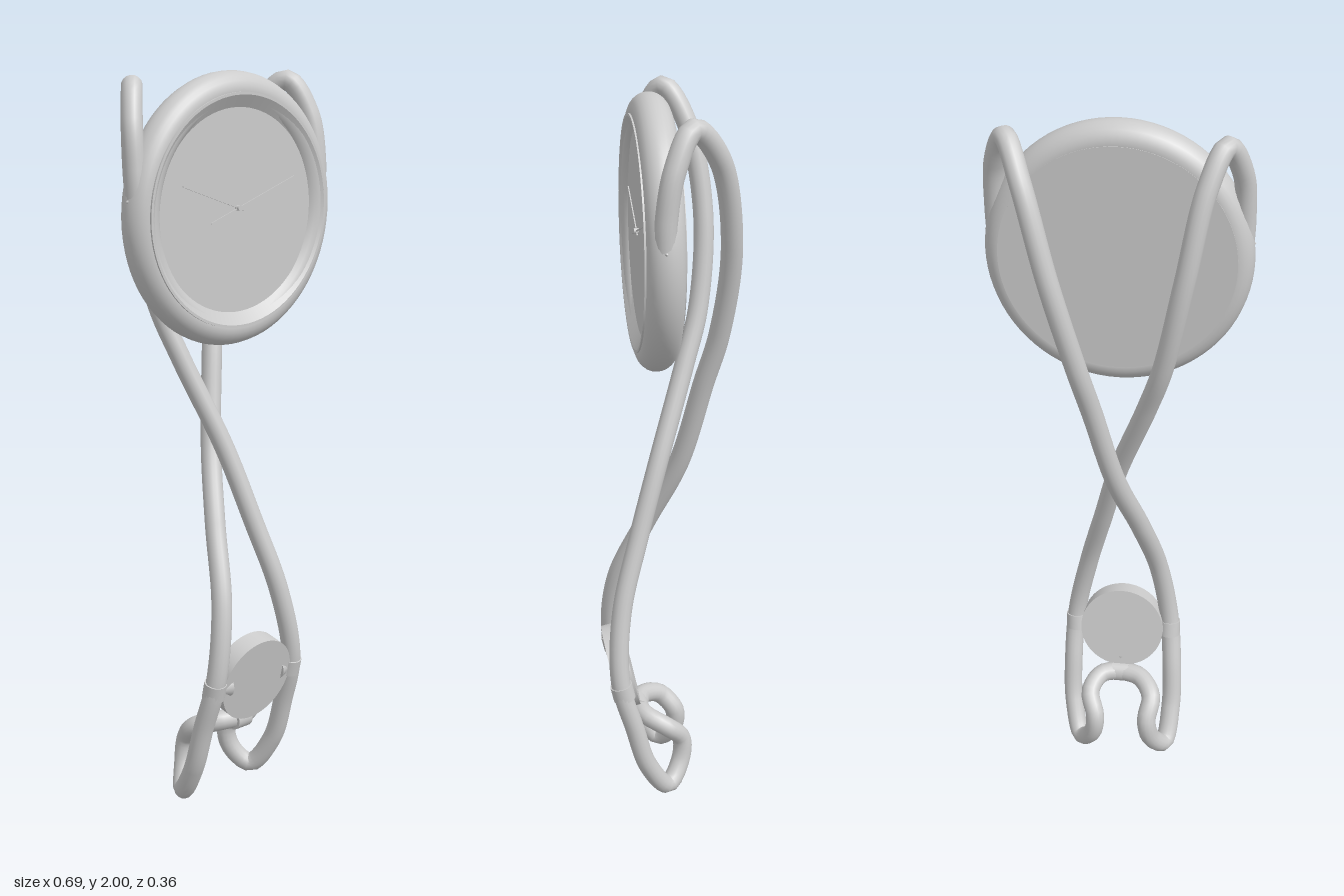
import * as THREE from 'three';

const mat = new THREE.MeshStandardMaterial({ color: 0xcccccc, side: THREE.DoubleSide });

function add(parent, name, geometry, x = 0, y = 0, z = 0) {
  const mesh = new THREE.Mesh(geometry, mat);
  mesh.name = name;
  mesh.position.set(x, y, z);
  parent.add(mesh);
  return mesh;
}

// Flat-faced lathe: every profile segment gets its own normals
function hardLathe(profile, segments = 64) {
  const group = new THREE.Group();
  for (let i = 0; i < profile.length - 1; i++) {
    const pts = [profile[i], profile[i + 1]].map(p => new THREE.Vector2(...p));
    add(group, 'profileBand', new THREE.LatheGeometry(pts, segments));
  }
  return group;
}

function rod(points, radius) {
  const curve = new THREE.CatmullRomCurve3(points.map(p => new THREE.Vector3(...p)), false, 'centripetal');
  return new THREE.TubeGeometry(curve, 160, radius, 16);
}

export function createModel() {
  const model = new THREE.Group();
  const dialY = 1.645, dialZ = 0.031;

  // Round head: padded ring, case with sloped bezel, hands
  const head = new THREE.Group();
  head.name = 'dialHead';
  head.position.set(0, dialY, dialZ);
  model.add(head);
  const ring = add(head, 'outerRing', new THREE.TorusGeometry(0.306, 0.049, 24, 80));
  ring.scale.x = 0.965;
  const dialCase = hardLathe([
    [0, -0.05], [0.303, -0.05], [0.303, 0.053], [0.296, 0.053], [0.264, 0.032], [0, 0.032],
  ], 80);
  dialCase.name = 'dialCase';
  dialCase.rotation.x = Math.PI / 2;
  head.add(dialCase);
  const pin = add(head, 'centrePin', new THREE.CylinderGeometry(0.007, 0.007, 0.014, 16), 0, 0.008, 0.038);
  pin.rotation.x = Math.PI / 2;
  for (const [name, angle, from, to] of [['minuteHand', 0.34, -0.1, 0.21], ['hourHand', 2.8, -0.02, 0.2]]) {
    const hand = new THREE.Group();
    hand.name = name;
    hand.position.set(0, 0.008, 0.038);
    hand.rotation.z = angle;
    add(hand, name + 'Blade', new THREE.BoxGeometry(to - from, 0.003, 0.003), (from + to) / 2);
    head.add(hand);
  }

  // Two crossing rods, each hooking over at the top and curling under at the foot
  add(model, 'frontCrossingRod', rod([
    [-0.31, 1.66, 0.035], [-0.313, 1.76, 0.033], [-0.305, 1.88, 0.015], [-0.266, 1.967, -0.033],
    [-0.225, 1.88, -0.09], [-0.18, 1.65, -0.13], [-0.13, 1.4, -0.112], [-0.085, 1.25, -0.068],
    [0, 1.0, 0.015], [0.05, 0.8, 0.075], [0.1, 0.6, 0.128], [0.14, 0.4, 0.138],
    [0.147, 0.25, 0.1], [0.142, 0.12, 0.062], [0.112, 0.03, 0.0],
    [0.072, 0.08, -0.04], [0.062, 0.15, -0.045], [0.082, 0.205, 0.0], [0.055, 0.23, 0.055], [0, 0.232, 0.075],
  ], 0.027));
  add(model, 'rearCrossingRod', rod([
    [0.31, 1.66, 0.035], [0.313, 1.76, 0.033], [0.305, 1.88, 0.012], [0.268, 1.967, -0.037],
    [0.22, 1.88, -0.11], [0.155, 1.65, -0.152], [0.09, 1.4, -0.135], [0.055, 1.25, -0.1],
    [0, 1.0, -0.042], [-0.058, 0.8, 0.042], [-0.105, 0.6, 0.122], [-0.138, 0.4, 0.138],
    [-0.152, 0.25, 0.1], [-0.155, 0.12, 0.062], [-0.142, 0.03, 0.0],
    [-0.105, 0.08, -0.04], [-0.092, 0.15, -0.045], [-0.1, 0.205, 0.0], [-0.06, 0.23, 0.055], [0, 0.232, 0.075],
  ], 0.028));

  // Small tilted disc between the rods
  const disc = add(model, 'smallDisc', new THREE.CylinderGeometry(0.122, 0.122, 0.055, 64), 0, 0.372, 0.123);
  disc.rotation.x = Math.PI / 2 + 0.22;

  // Sleeve joining the curled rod ends
  const sleeve = add(model, 'bottomSleeve', new THREE.CylinderGeometry(0.031, 0.031, 0.05, 24), 0, 0.232, 0.075);
  sleeve.rotation.z = Math.PI / 2;
  add(model, 'sleeveStem', new THREE.CylinderGeometry(0.014, 0.014, 0.05, 16), 0, 0.26, 0.088);

  for (const [label, s] of [['left', 1], ['right', -1]]) {
    // Pointed joint where rod meets ring
    const joint = add(model, label + 'RingJoint', new THREE.ConeGeometry(0.05, 0.05, 24), s * 0.318, 1.69, 0.035);
    joint.rotation.z = -s * Math.PI / 2;
    // Clip band on the rod with a tapering neck to the disc
    const band = add(model, label + 'DiscClip', new THREE.CylinderGeometry(0.031, 0.031, 0.045, 24), s * 0.14, 0.37, 0.132);
    band.rotation.x = 0.22;
    const neck = add(model, label + 'ClipNeck', new THREE.CylinderGeometry(0.018, 0.032, 0.04, 20), s * 0.112, 0.37, 0.127);
    neck.rotation.z = -s * Math.PI / 2;
  }
  return model;
}
